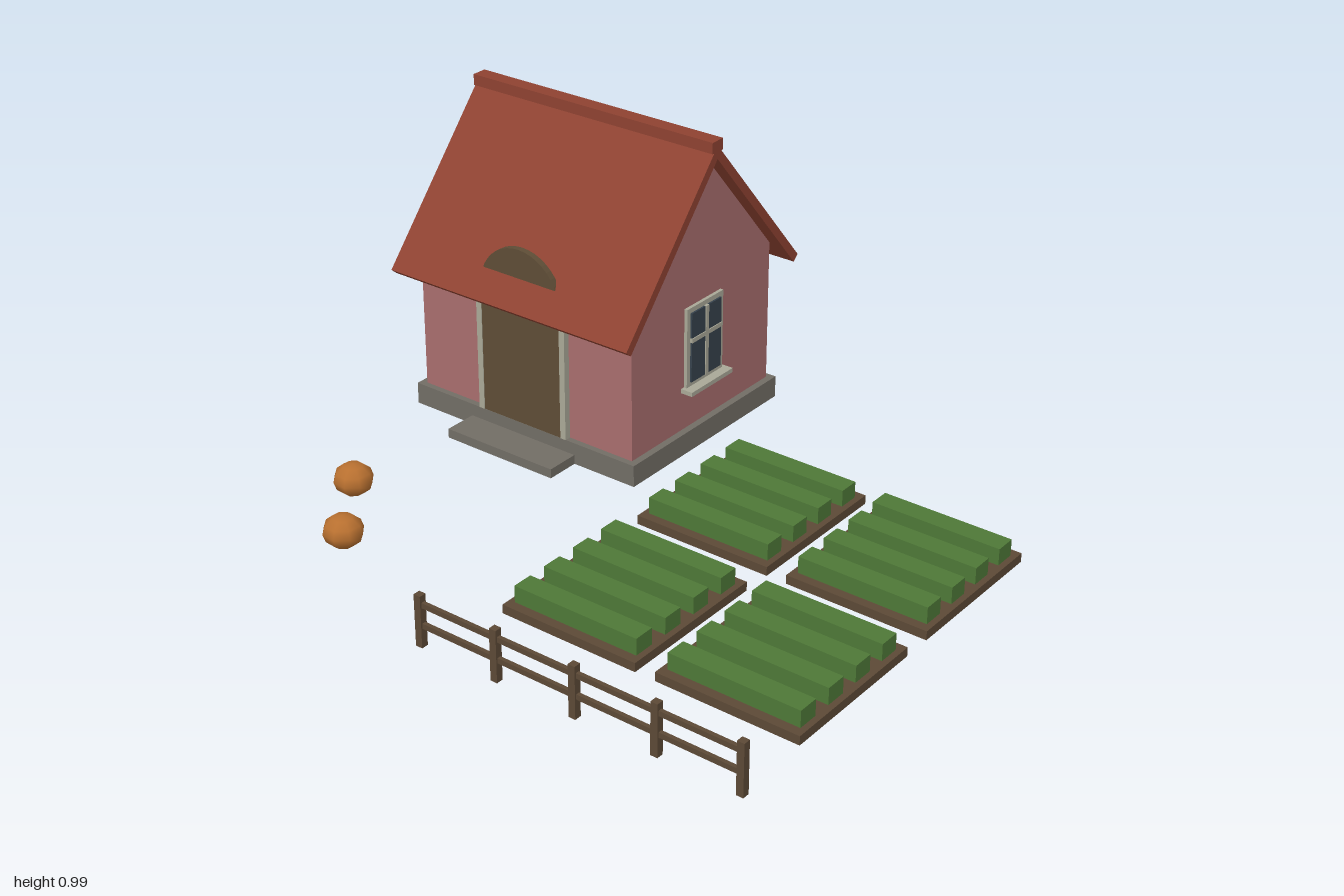
import * as THREE from 'three';

const mat = (name, color) => {
  const m = new THREE.MeshStandardMaterial({ color });
  m.name = name;
  return m;
};

export function createModel() {
  const model = new THREE.Group();
  model.name = 'cottageGarden';
  const wall = mat('rose plaster', 0xa86d6e);
  const roofRed = mat('roof tile red', 0x8e4231);
  const stone = mat('grey stone', 0x716d65);
  const doorWood = mat('door wood', 0x5e4d36);
  const fenceWood = mat('dark timber', 0x5c4936);
  const trim = mat('pale trim', 0xa9a897);
  const glass = mat('window glass', 0x36424c);
  const green = mat('crop green', 0x4e7837);
  const orange = mat('pumpkin orange', 0xb87030);

  const add = (parent, name, geo, material, x = 0, y = 0, z = 0) => {
    const mesh = new THREE.Mesh(geo, material);
    mesh.name = name;
    mesh.position.set(x, y, z);
    parent.add(mesh);
    return mesh;
  };
  const box = (parent, name, material, w, h, d, x, y, z) =>
    add(parent, name, new THREE.BoxGeometry(w, h, d), material, x, y, z);
  const group = (parent, name, x, y, z) => {
    const g = new THREE.Group();
    g.name = name;
    g.position.set(x, y, z);
    parent.add(g);
    return g;
  };
  // Extrudes a (z, y) section along x, centred
  const alongX = (parent, name, material, points, length) => {
    const shape = new THREE.Shape(points.map(([a, b]) => new THREE.Vector2(a, b)));
    const geo = new THREE.ExtrudeGeometry(shape, { depth: length, bevelEnabled: false });
    geo.translate(0, 0, -length / 2).rotateY(Math.PI / 2);
    return add(parent, name, geo, material);
  };

  // House body, centred under its ridge
  const house = group(model, 'house', -0.5475, 0, -0.47);
  box(house, 'foundation', stone, 0.855, 0.07, 0.72, 0, 0.035, 0);
  box(house, 'doorStep', stone, 0.405, 0.03, 0.115, 0, 0.015, 0.4125);
  alongX(house, 'walls', wall,
    [[-0.34, 0.07], [0.34, 0.07], [0.34, 0.535], [0, 0.93], [-0.34, 0.535]], 0.81);

  // Roof slabs and ridge cap
  alongX(house, 'roof', roofRed,
    [[-0.425, 0.475], [-0.404, 0.457], [0, 0.928], [0.404, 0.457], [0.425, 0.475], [0, 0.97]], 0.905);
  box(house, 'ridgeCap', roofRed, 0.905, 0.035, 0.05, 0, 0.968, 0);

  // Arched door, its crown rising through the roof
  const arch = new THREE.Shape();
  arch.moveTo(-0.15, 0.07);
  arch.lineTo(0.15, 0.07);
  arch.absarc(0, 0.495, 0.15, 0, Math.PI, false);
  arch.closePath();
  add(house, 'door', new THREE.ExtrudeGeometry(arch, { depth: 0.02, bevelEnabled: false, curveSegments: 10 }),
    doorWood, 0, 0, 0.339);
  for (const s of [-1, 1])
    box(house, 'doorJamb', trim, 0.02, 0.43, 0.022, s * 0.16, 0.285, 0.35);

  // Windows on both gables and the back, built facing +z
  const windowAt = (name, x, z, turn) => {
    const w = group(house, name, x, 0.34, z);
    w.rotation.y = turn;
    box(w, 'frame', trim, 0.178, 0.26, 0.012, 0, 0, 0.005);
    box(w, 'pane', glass, 0.146, 0.228, 0.008, 0, 0, 0.013);
    box(w, 'uprightBar', trim, 0.014, 0.23, 0.012, 0, 0, 0.014);
    box(w, 'crossBar', trim, 0.148, 0.014, 0.012, 0, 0.025, 0.014);
    box(w, 'sill', trim, 0.205, 0.014, 0.042, 0, -0.136, 0.02);
  };
  windowAt('leftWindow', 0.405, 0, Math.PI / 2);
  windowAt('rightWindow', -0.405, 0, -Math.PI / 2);
  windowAt('backWindow', 0, -0.34, Math.PI);

  // Four vegetable beds, four rows each
  for (const x of [0.243, 0.76]) {
    for (const z of [-0.2, 0.389]) {
      const bed = group(model, 'gardenBed', x, 0, z);
      box(bed, 'bedBase', fenceWood, 0.452, 0.028, 0.495, 0, 0.014, 0);
      for (let i = 0; i < 4; i++)
        box(bed, 'cropRow', green, 0.415, 0.054, 0.066, 0, 0.053, (i - 1.5) * 0.1235);
    }
  }

  // Fence
  const fence = group(model, 'fence', 0, 0, 0.883);
  for (let i = 0; i < 5; i++)
    box(fence, 'fencePost', fenceWood, 0.022, 0.16, 0.022, -0.051 + i * 0.26, 0.08, 0);
  for (const y of [0.067, 0.131])
    box(fence, 'fenceRail', fenceWood, 1.04, 0.016, 0.012, 0.469, y, 0);

  // Pumpkins
  for (const [x, z] of [[-0.73, 0.432], [-0.55, 0.66]]) {
    const p = add(model, 'pumpkin', new THREE.SphereGeometry(0.061, 8, 6), orange, x, 0.06, z);
    p.scale.y = 0.82;
    p.rotation.y = 0.3;
  }
  return model;
}
